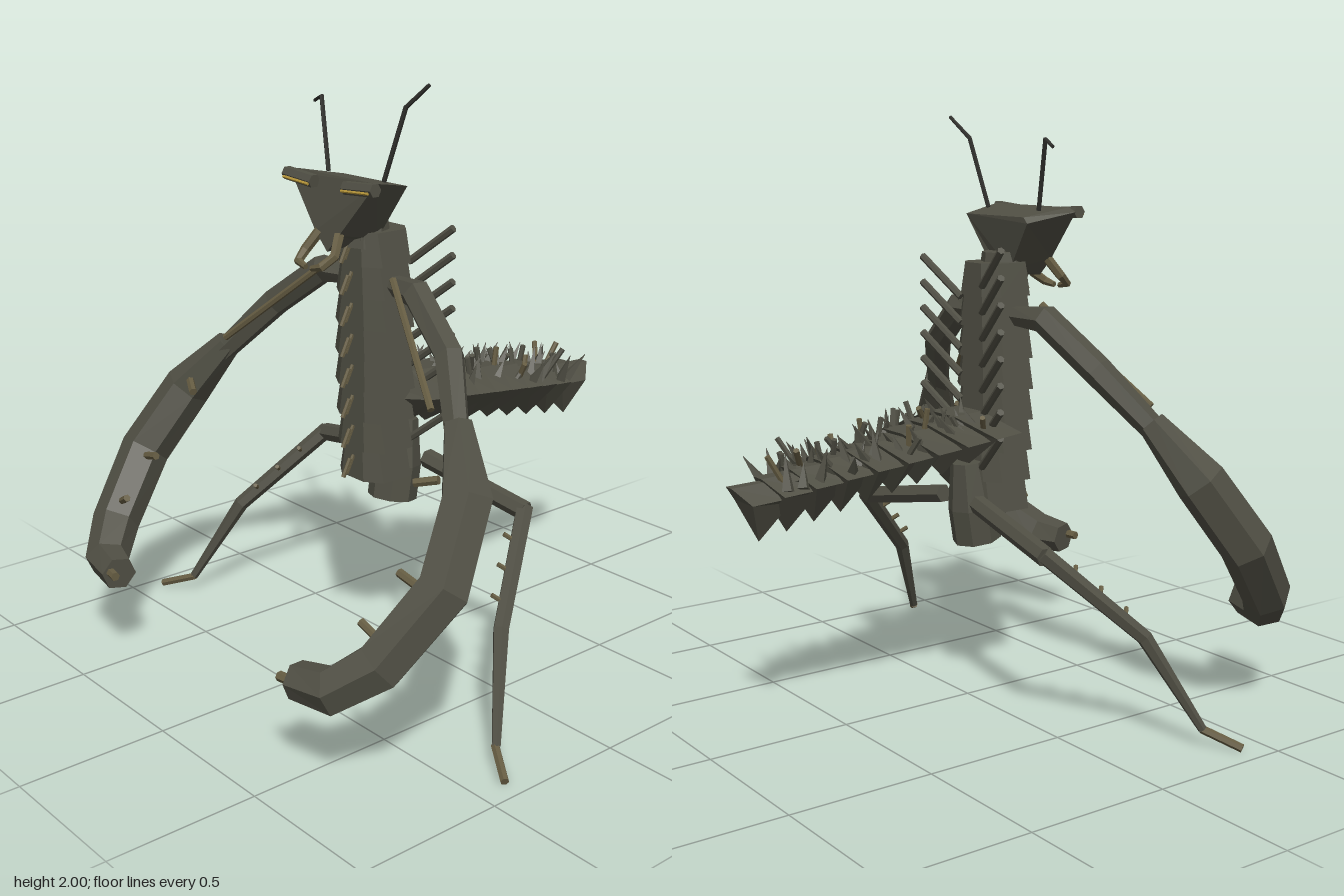
import * as THREE from 'three';

const mat = (name, color) => new THREE.MeshStandardMaterial({ name, color, flatShading: true });
const V = (p) => new THREE.Vector3(...p);

// Skin a list of matching rings (counter-clockwise about the travel direction) and cap both ends
function skin(rings) {
  const pos = [];
  const tri = (...pts) => pts.forEach((p) => pos.push(...p));
  const n = rings[0].length;
  for (let i = 0; i + 1 < rings.length; i++) {
    for (let j = 0; j < n; j++) {
      const k = (j + 1) % n, r = rings[i], q = rings[i + 1];
      tri(r[j], r[k], q[k]);
      tri(r[j], q[k], q[j]);
    }
  }
  const first = rings[0], last = rings[rings.length - 1];
  for (let j = 1; j + 1 < n; j++) {
    tri(first[0], first[j + 1], first[j]);
    tri(last[0], last[j], last[j + 1]);
  }
  const g = new THREE.BufferGeometry();
  g.setAttribute('position', new THREE.Float32BufferAttribute(pos, 3));
  g.computeVertexNormals();
  return g;
}

// Faceted limb through points with a radius at each
function limb(points, radii, sides = 6) {
  const P = points.map(V);
  const dir = (i) => P[Math.min(i + 1, P.length - 1)].clone().sub(P[Math.max(i - 1, 0)]).normalize();
  let t = dir(0);
  const ref = Math.abs(t.z) > 0.8 ? new THREE.Vector3(0, 1, 0) : new THREE.Vector3(0, 0, 1);
  const n = ref.addScaledVector(t, -ref.dot(t)).normalize();
  return skin(P.map((p, i) => {
    const t2 = dir(i);
    n.applyQuaternion(new THREE.Quaternion().setFromUnitVectors(t, t2));
    t = t2;
    const b = t.clone().cross(n);
    return Array.from({ length: sides }, (_, k) => {
      const a = (k / sides) * Math.PI * 2;
      return p.clone().addScaledVector(n, Math.cos(a) * radii[i]).addScaledVector(b, Math.sin(a) * radii[i]).toArray();
    });
  }));
}

function seeded(seed) {
  return () => (seed = (seed * 16807) % 2147483647) / 2147483647;
}

export function createModel() {
  const shell = mat('shell', 0x504f44);
  const dark = mat('dark feeler', 0x2f2f2b);
  const tan = mat('tan spine', 0x655c42);
  const gold = mat('gold eye', 0xb8973a);
  const model = new THREE.Group();
  const add = (name, geometry, material) => {
    const m = new THREE.Mesh(geometry, material);
    m.name = name;
    model.add(m);
  };
  const rod = (name, a, b, r, m = shell) => add(name, limb([a, b], [r, r], 6), m);

  // Upright body: stacked bevelled segments that flare downwards
  const bodyRing = (y, w, d) => [[w, 0.06], [w, -0.06], [w / 2, -d], [-w / 2, -d], [-w, -0.06], [-w, 0.06], [-w / 2, d], [w / 2, d]]
    .map(([x, z]) => [x, y, 0.115 + z]);
  for (let i = 0; i < 8; i++) {
    const y = 0.67 + i * 0.105;
    const w = 0.115 + 0.022 * Math.sin((i / 7) * Math.PI);
    add('bodySegment', skin([bodyRing(y, w, 0.1), bodyRing(y + 0.11, w - 0.025, 0.093)]), shell);
  }
  add('neck', limb([[0, 1.46, 0.15], [0, 1.55, 0.145]], [0.085, 0.07], 8), shell);
  add('pelvis', limb([[0, 0.84, 0.0], [0, 0.68, 0.02], [0, 0.56, 0.04]], [0.06, 0.085, 0.085], 8), shell);

  // Short spines down the chest and paired spines down the back
  for (let i = 0; i < 8; i++) {
    const y = 0.68 + i * 0.105;
    rod('chestSpine', [0, y, 0.255], [0, y + 0.06, 0.225], 0.008, tan);
    rod('chestSpine', [0, y + 0.07, 0.21], [0, y + 0.01, 0.24], 0.007, tan);
    for (const s of [-1, 1]) {
      const yb = 0.84 + i * 0.088 + (s > 0 ? 0 : 0.045);
      rod('backSpine', [s * 0.06, yb - 0.06, 0.015], [s * 0.225, yb + 0.07, -0.03], 0.013);
    }
  }

  // Abdomen: nine keeled segments, each dropping to a saw tooth
  const tailRing = (z, top, w, bottom) => [
    [w, top - 0.055, z + 0.05], [0, bottom, z + 0.1], [-w, top - 0.055, z + 0.05], [-w * 0.3, top, z], [w * 0.3, top, z]];
  for (let i = 0; i < 9; i++) {
    const back = -0.11 - i * 0.1, top = 1.015 - i * 0.0185;
    const w = 0.25 - i * 0.0235, low = 0.82 - i * 0.0175;
    add('abdomenSegment', skin([
      tailRing(Math.min(back + 0.12, 0.01), top + 0.005, w * 0.9, low + 0.11),
      tailRing(back, top, w, low)]), shell);
  }

  // Thicket of thorns and rods on top of the abdomen
  const rnd = seeded(77);
  for (let i = 0; i < 75; i++) {
    const z = -0.04 - 0.72 * (i / 75);
    const half = 0.15 + z * 0.09;
    const x = (rnd() * 2 - 1) * half;
    const y = 1.03 + z * 0.185 - Math.abs(x) * 0.25;
    const tip = [x + (rnd() - 0.5) * 0.12, y + 0.03 + rnd() * 0.05, z - 0.07 + rnd() * 0.1];
    if (i % 3) add('thorn', limb([[x, y - 0.03, z], tip], [0.022, 0.001], 4), shell);
    else rod('abdomenSpine', [x, y - 0.03, z], tip, 0.01, i % 9 ? shell : tan);
  }

  // Triangular head, wider at the front
  add('head', skin([
    [[0.16, 1.67, 0.11], [-0.16, 1.67, 0.11], [-0.18, 1.65, 0.11], [-0.05, 1.49, 0.14], [0, 1.47, 0.15], [0.05, 1.49, 0.14]],
    [[0.2, 1.7, 0.27], [-0.2, 1.7, 0.27], [-0.23, 1.685, 0.275], [-0.06, 1.52, 0.31], [0, 1.46, 0.31], [0.06, 1.52, 0.31]],
  ]), shell);

  for (const s of [-1, 1]) {
    const at = (pts) => pts.map(([x, y, z]) => [s * x, y, z]);
    const sideRod = (name, a, b, r, m) => rod(name, ...at([a, b]), r, m);

    // Face
    sideRod('eye', [0.08, 1.675, 0.295], [0.225, 1.685, 0.295], 0.023);
    sideRod('eyeStripe', [0.085, 1.668, 0.318], [0.215, 1.676, 0.318], 0.005, gold);
    add('mandible', limb(at([[0.05, 1.52, 0.3], [0.075, 1.46, 0.34], [0.06, 1.43, 0.38], [0.015, 1.42, 0.385]]),
      [0.018, 0.017, 0.015, 0.01]), tan);
    add('antenna', limb([[s * 0.14, 1.69, 0.19], [s * 0.21, 1.925, 0.16], [s * 0.285, s > 0 ? 1.998 : 1.9, 0.13]],
      [0.008, 0.008, 0.006]), dark);

    // Grasping front limb
    add('upperArm', limb(at([[0.11, 1.34, 0.12], [0.24, 1.34, 0.14], [0.45, 1.19, 0.19], [0.62, 0.99, 0.31]]),
      [0.035, 0.05, 0.05, 0.04]), shell);
    add('forearm', limb(at([[0.6, 1.03, 0.29], [0.74, 0.85, 0.38], [0.805, 0.63, 0.53], [0.73, 0.42, 0.71], [0.63, 0.335, 0.81], [0.5, 0.33, 0.84]]),
      [0.047, 0.085, 0.088, 0.083, 0.075, 0.06]), shell);
    sideRod('armTendon', [0.17, 1.38, 0.18], [0.54, 1.07, 0.345], 0.012, tan);
    sideRod('forearmSpine', [0.66, 0.9, 0.42], [0.59, 0.88, 0.455], 0.014, tan);
    sideRod('forearmSpine', [0.74, 0.63, 0.57], [0.66, 0.65, 0.575], 0.014, tan);
    sideRod('forearmSpine', [0.7, 0.5, 0.7], [0.645, 0.53, 0.71], 0.013, tan);
    sideRod('claw', [0.53, 0.34, 0.865], [0.465, 0.34, 0.875], 0.016, tan);

    // Walking leg
    add('thigh', limb(at([[0.1, 0.71, -0.03], [0.53, 0.63, -0.08]]), [0.033, 0.033]), shell);
    add('shin', limb(at([[0.52, 0.64, -0.085], [0.7, 0.36, 0.19], [0.83, 0.06, 0.33]]), [0.03, 0.027, 0.015]), shell);
    sideRod('foot', [0.825, 0.06, 0.33], [0.94, 0.015, 0.4], 0.014, tan);
    for (const f of [0.3, 0.55, 0.8]) {
      const x = 0.52 + 0.18 * f, y = 0.64 - 0.28 * f, z = -0.085 + 0.275 * f;
      sideRod('shinSpine', [x, y, z], [x - 0.03, y + 0.03, z + 0.035], 0.008, tan);
    }
  }
  return model;
}
